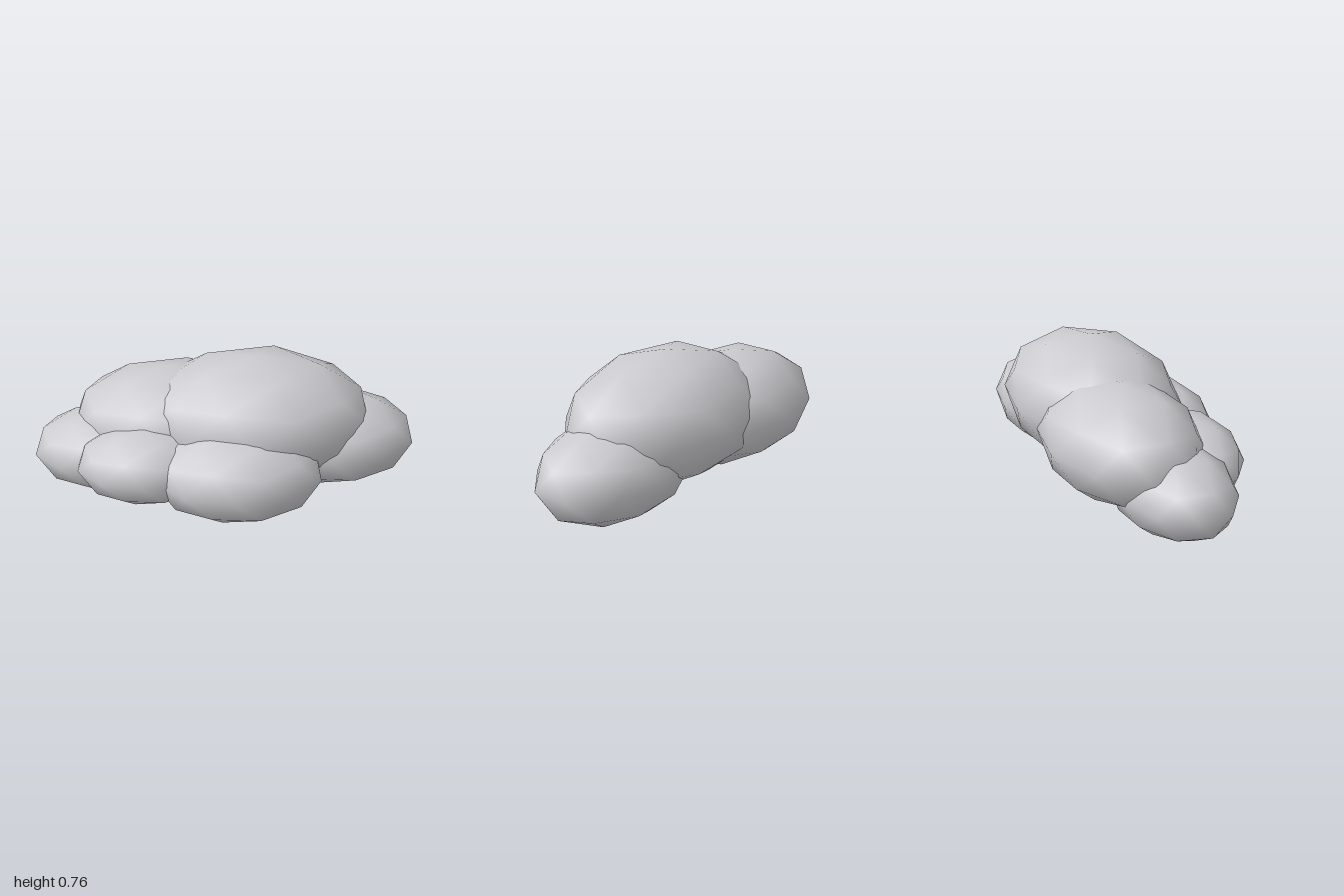
import * as THREE from 'three';

export function createModel() {
  const cloud = new THREE.Group();
  cloud.name = 'cloud';
  const cloudGrey = new THREE.MeshStandardMaterial({ color: 0xcbcbcf });
  cloudGrey.name = 'cloud grey';

  // Smooth-shaded low-poly ball with a corner at each pole and a ring corner on +x
  const ball = new THREE.IcosahedronGeometry(1, 1);
  ball.rotateX(-Math.atan((1 + Math.sqrt(5)) / 2));
  ball.rotateY(Math.PI / 2);

  // Every puff has the same flattened shape: name, half-length, centre
  const puffs = [
    ['mainPuff', 0.61, 0.17, 0.425, -0.08],
    ['backPuff', 0.535, -0.28, 0.365, -0.16],
    ['leftPuff', 0.452, 0.57, 0.28, -0.1],
    ['rightPuff', 0.4, -0.62, 0.23, -0.07],
    ['frontPuff', 0.45, 0.06, 0.253, 0.212],
    ['frontRightPuff', 0.368, -0.4, 0.266, 0.15],
  ];
  for (const [name, size, x, y, z] of puffs) {
    const puff = new THREE.Mesh(ball, cloudGrey);
    puff.name = name;
    puff.scale.set(size, size * 0.556, size * 0.7);
    puff.position.set(x, y, z);
    cloud.add(puff);
  }
  return cloud;
}
